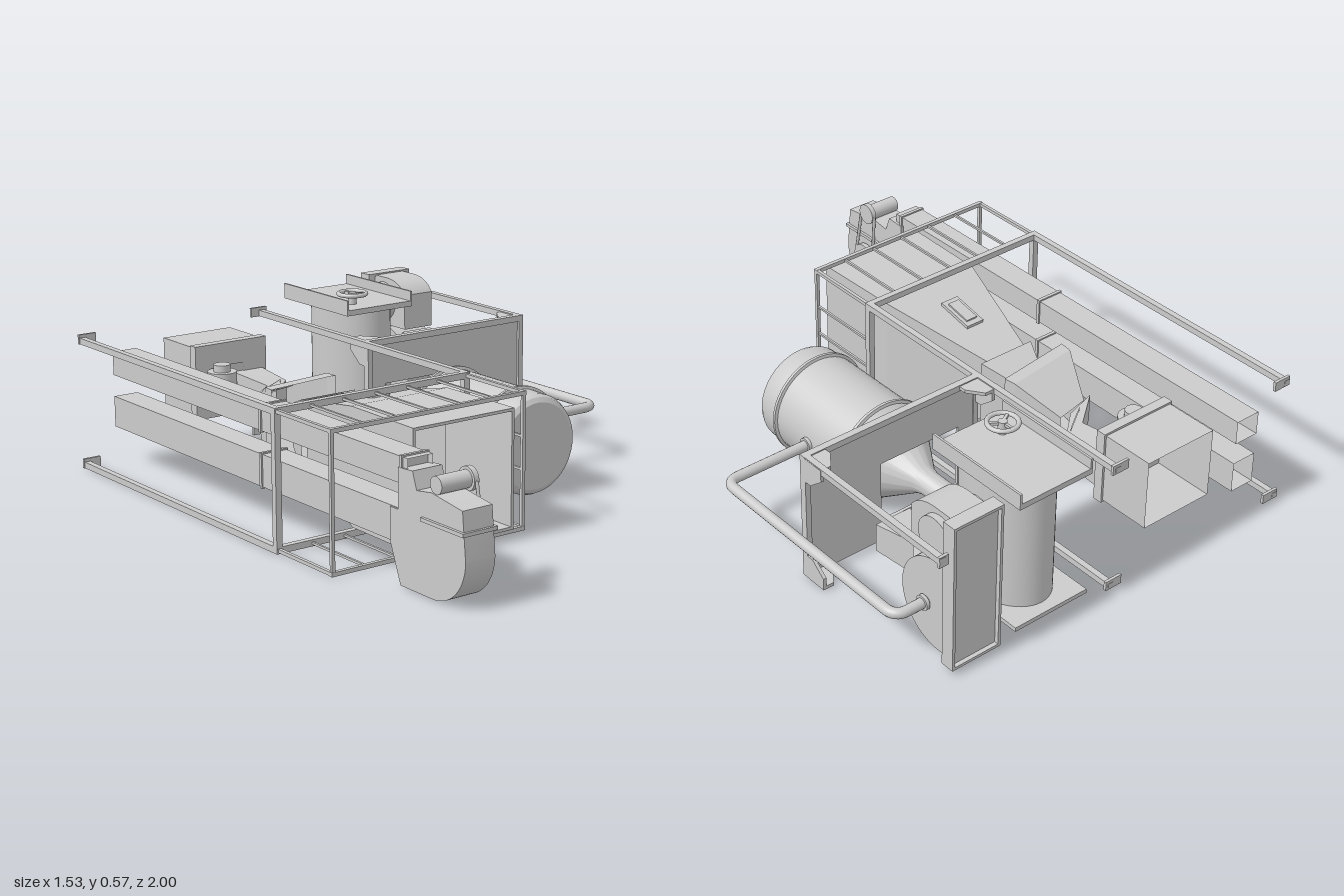
import * as THREE from 'three';
import { toCreasedNormals } from 'three/addons/utils/BufferGeometryUtils.js';

const grey = new THREE.MeshStandardMaterial({ color: 0xcccccc });
const sheet = new THREE.MeshStandardMaterial({ color: 0xcccccc, side: THREE.DoubleSide });
const flatSheet = new THREE.MeshStandardMaterial({ color: 0xcccccc, side: THREE.DoubleSide, flatShading: true });

export function createModel() {
  const root = new THREE.Group();
  const add = (name, geo, mat = grey, parent = root) => {
    const m = new THREE.Mesh(geo, mat);
    m.name = name;
    parent.add(m);
    return m;
  };
  const group = (name) => {
    const g = new THREE.Group();
    g.name = name;
    root.add(g);
    return g;
  };
  // box given by its limits on each axis
  const box = (name, x0, x1, y0, y1, z0, z1, parent) =>
    add(name, new THREE.BoxGeometry(x1 - x0, y1 - y0, z1 - z0)
      .translate((x0 + x1) / 2, (y0 + y1) / 2, (z0 + z1) / 2), grey, parent);
  // cylinder along an axis
  const cyl = (name, axis, r, len, x, y, z, parent) => {
    const g = new THREE.CylinderGeometry(r, r, len, 40);
    if (axis === 'x') g.rotateZ(Math.PI / 2);
    if (axis === 'z') g.rotateX(Math.PI / 2);
    return add(name, g.translate(x, y, z), grey, parent);
  };
  // open rectangular duct through sections [x, y, z, width, height, yaw]
  const duct = (name, sections, parent) => {
    const pos = [], idx = [];
    sections.forEach(([x, y, z, w, h, yaw = 0], k) => {
      [[-1, -1], [1, -1], [1, 1], [-1, 1]].forEach(([u, v]) =>
        pos.push(x + u * w / 2 * Math.cos(yaw), y + v * h / 2, z - u * w / 2 * Math.sin(yaw)));
      if (k) for (let i = 0; i < 4; i++) {
        const a = (k - 1) * 4 + i, b = (k - 1) * 4 + (i + 1) % 4;
        idx.push(a, b, b + 4, a, b + 4, a + 4);
      }
    });
    const g = new THREE.BufferGeometry();
    g.setAttribute('position', new THREE.Float32BufferAttribute(pos, 3));
    g.setIndex(idx);
    g.computeVertexNormals();
    return add(name, g, flatSheet, parent);
  };
  // side profile in (z, y) extruded across x0..x1
  const sideExtrude = (name, shape, x0, x1, parent) =>
    add(name, toCreasedNormals(new THREE.ExtrudeGeometry(shape,
      { depth: x1 - x0, bevelEnabled: false, curveSegments: 24 })
      .rotateY(-Math.PI / 2).translate(x1, 0, 0), 0.6), grey, parent);
  const poly = (pts) => new THREE.Shape(pts.map(([a, b]) => new THREE.Vector2(a, b)));

  // Elevator: two open trunks with flanges
  const elevator = group('elevator');
  [[0.362, 0.084], [0.187, 0.11]].forEach(([y, h]) => {
    duct('trunk', [[-0.582, y, -1, 0.094, h], [-0.582, y, 0.72, 0.094, h]], elevator);
    for (const z of [-0.06, 0.69])
      box('trunkFlange', -0.634, -0.53, y - h / 2 - 0.005, y + h / 2 + 0.005, z - 0.006, z + 0.006, elevator);
  });
  // Elevator head with rounded end
  const head = new THREE.Shape();
  head.moveTo(0.64, 0.13);
  head.lineTo(0.69, 0.005);
  head.lineTo(0.85, 0.005);
  head.absarc(0.845, 0.16, 0.155, -Math.PI / 2, 0, false);
  head.lineTo(0.985, 0.31);
  head.lineTo(0.84, 0.33);
  head.lineTo(0.77, 0.32);
  head.lineTo(0.75, 0.375);
  head.lineTo(0.68, 0.37);
  head.lineTo(0.68, 0.24);
  head.lineTo(0.64, 0.24);
  sideExtrude('elevatorHead', head, -0.635, -0.525, elevator);
  box('headFlange', -0.645, -0.515, 0.235, 0.247, 0.8, 1, elevator);
  cyl('headMotor', 'x', 0.028, 0.13, -0.565, 0.355, 0.855, elevator);
  cyl('motorPulley', 'x', 0.038, 0.018, -0.508, 0.355, 0.855, elevator);
  cyl('drivenPulley', 'x', 0.05, 0.018, -0.51, 0.16, 0.88, elevator);
  cyl('driveShaft', 'x', 0.016, 0.05, -0.515, 0.16, 0.88, elevator);
  for (const s of [-1, 1])
    add('driveBelt', new THREE.TubeGeometry(new THREE.LineCurve3(
      new THREE.Vector3(-0.508, 0.355, 0.855 + s * 0.037),
      new THREE.Vector3(-0.508, 0.16, 0.88 + s * 0.049)), 1, 0.006, 6), grey, elevator);

  // Intake hopper tapering towards the back
  const hopper = group('intakeHopper');
  duct('hopperShell', [[-0.28, 0.235, 0.55, 0.4, 0.4], [-0.28, 0.235, 0.22, 0.385, 0.4],
    [-0.28, 0.235, -0.2, 0.15, 0.23]], hopper);
  duct('hopperLiner', [[-0.28, 0.235, 0.55, 0.38, 0.38], [-0.28, 0.235, 0.22, 0.37, 0.38]], hopper);
  duct('hopperLip', [[-0.28, 0.235, 0.55, 0.4, 0.4], [-0.28, 0.235, 0.55, 0.38, 0.38]], hopper);
  duct('neckCollar', [[-0.28, 0.235, -0.18, 0.22, 0.25], [-0.28, 0.235, -0.32, 0.1, 0.15]], hopper);
  const hatch = box('inspectionHatch', -0.315, -0.245, -0.008, 0.012, -0.07, 0.07, hopper);
  hatch.position.set(0, 0.4, 0.05);
  hatch.rotation.x = -0.2;
  const pane = box('hatchPane', -0.302, -0.258, 0.01, 0.018, -0.05, 0.05, hopper);
  pane.position.copy(hatch.position);
  pane.rotation.copy(hatch.rotation);

  // Swivelling hood, elbow and fan box
  const suction = group('suctionDuct');
  duct('swivelHood', [[-0.295, 0.24, -0.3, 0.29, 0.28, 0.13], [-0.295, 0.24, -0.345, 0.28, 0.28, 0.13],
    [-0.28, 0.235, -0.51, 0.13, 0.14, 0.2]], suction);
  duct('elbowDuct', [[-0.325, 0.25, -0.5, 0.13, 0.1, 0.3], [-0.205, 0.255, -0.6, 0.1, 0.1, 0.25],
    [-0.21, 0.26, -0.78, 0.12, 0.12]], suction);
  duct('elbowCollar', [[-0.245, 0.255, -0.56, 0.125, 0.12, 0.6], [-0.235, 0.255, -0.572, 0.125, 0.12, 0.6]], suction);
  duct('fanBox', [[-0.28, 0.3, -1, 0.28, 0.25], [-0.28, 0.3, -0.78, 0.28, 0.25],
    [-0.28, 0.3, -0.78, 0.001, 0.001]], suction);
  duct('fanBoxFlange', [[-0.28, 0.3, -0.81, 0.28, 0.25], [-0.28, 0.3, -0.81, 0.295, 0.265],
    [-0.28, 0.3, -0.775, 0.295, 0.265], [-0.28, 0.3, -0.775, 0.1, 0.1]], suction);
  cyl('fanMotor', 'y', 0.052, 0.1, -0.36, 0.3, -0.71, suction);
  cyl('fanMotorCap', 'y', 0.03, 0.03, -0.36, 0.36, -0.71, suction);
  box('fanMotorMount', -0.39, -0.33, 0.27, 0.33, -0.78, -0.72, suction);

  // Open frame around the intake
  const frame = group('frame');
  const t = 0.011;
  const bar = (n, x0, x1, y0, y1, z0, z1, h = t) =>
    box(n, x0 - h, x1 + h, y0 - h, y1 + h, z0 - h, z1 + h, frame);
  const xl = -0.752, xr = -0.006, yb = 0.014, yt = 0.463;
  for (const y of [yb, yt]) {
    for (const z of [0.21, 0.505]) bar('crossRail', xl, xr, y, y, z, z, z > 0.4 ? 0.007 : t);
    for (const x of [xl, xr]) {
      bar('longRail', x, x, y, y, -0.99, 0.21);
      bar('frontRail', x, x, y, y, 0.21, 0.505, 0.006);
      const inward = x < -0.5 ? x + 0.02 : x - 0.012;
      box('railEndPlate', inward - 0.033, inward + 0.033, y - 0.012, y + 0.022, -1, -0.99, frame);
    }
    for (let i = 1; i < 6; i++) bar('roofBar', xl + i * 0.125, xl + i * 0.125, y, y, 0.21, 0.505, 0.004);
  }
  for (const x of [xl, xr]) for (const z of [0.21, 0.505]) bar('post', x, x, yb, yt, z, z, z > 0.4 ? 0.006 : t);
  for (const y of [0.21, 0.32]) bar('sideBar', xr, xr, y, y, 0.21, 0.505, 0.004);
  bar('outerRail', 0.688, 0.688, yt, yt, -0.99, -0.35);
  box('railEndPlate', 0.665, 0.7, 0.44, 0.478, -1, -0.99, frame);

  // Bulkhead plate with opening, rim and corner gussets
  const bulkhead = group('bulkhead');
  const plate = poly([[0, 0.005], [0.7, 0.005], [0.7, 0.47], [0, 0.47]]);
  plate.holes.push(new THREE.Path([[0.08, 0.08], [0.08, 0.31], [0.4, 0.31], [0.4, 0.08]]
    .map(([a, b]) => new THREE.Vector2(a, b))));
  add('bulkheadPlate', new THREE.ExtrudeGeometry(plate, { depth: 0.012, bevelEnabled: false })
    .translate(0, 0, -0.356), grey, bulkhead);
  box('bulkheadTopRim', 0, 0.7, 0.452, 0.474, -0.36, -0.335, bulkhead);
  for (const x of [0, 0.68]) box('bulkheadSideRim', x, x + 0.02, 0.005, 0.47, -0.36, -0.335, bulkhead);
  const gusset = [[0, 0], [0.08, 0], [0.08, 0.03], [0.04, 0.085], [0, 0.085]];
  for (const right of [false, true]) for (const top of [false, true]) {
    const x0 = right ? 0.7 : 0, sx = right ? -1 : 1;
    const y0 = top ? 0.47 : 0.005, sy = top ? -1 : 1;
    sideExtrude('uprightGusset', poly(gusset.map(([a, b]) => [-0.355 - b, y0 + sy * a * 1.1])),
      right ? 0.688 : 0, right ? 0.7 : 0.012, bulkhead);
    add('flatGusset', new THREE.ExtrudeGeometry(poly(gusset.map(([a, b]) => [x0 + sx * a, 0.355 + b])),
      { depth: 0.012, bevelEnabled: false }).rotateX(-Math.PI / 2)
      .translate(0, top ? 0.458 : 0.005, 0), grey, bulkhead);
  }

  // Cyclone lying along z, with its pipe
  const cyclone = group('cyclone');
  const profile = [[0, 0.282], [0.15, 0.282], [0.166, 0.272], [0.174, 0.255], [0.176, 0.185], [0.186, 0.182],
    [0.186, 0.172], [0.176, 0.169], [0.176, -0.17], [0.186, -0.173], [0.186, -0.183], [0.176, -0.186],
    [0.05, -0.38], [0.042, -0.41], [0.04, -0.62]];
  add('cycloneBody', toCreasedNormals(new THREE.LatheGeometry(
    profile.map(([r, z]) => new THREE.Vector2(r, z)), 48), 0.5)
    .rotateX(Math.PI / 2).translate(0.246, 0.193, 0), sheet, cyclone);
  box('cycloneFoot', 0.13, 0.36, 0.005, 0.09, -0.07, -0.03, cyclone);
  const V = (x, z) => new THREE.Vector3(x, 0.195, z);
  const path = new THREE.CurvePath();
  path.add(new THREE.LineCurve3(V(0.4, 0.005), V(0.7, 0.005)));
  path.add(new THREE.QuadraticBezierCurve3(V(0.7, 0.005), V(0.748, 0.005), V(0.748, -0.043)));
  path.add(new THREE.LineCurve3(V(0.748, -0.043), V(0.748, -0.81)));
  path.add(new THREE.QuadraticBezierCurve3(V(0.748, -0.81), V(0.748, -0.858), V(0.7, -0.858)));
  path.add(new THREE.LineCurve3(V(0.7, -0.858), V(0.6, -0.858)));
  add('airPipe', new THREE.TubeGeometry(path, 120, 0.018, 16), grey, cyclone);
  for (const [x, z] of [[0.426, 0.005], [0.642, -0.858]]) cyl('pipeFlange', 'x', 0.026, 0.012, x, 0.195, z, cyclone);

  // Rear vessel with tray lid, base and handwheel
  const vessel = group('rearVessel');
  add('vesselBody', new THREE.CylinderGeometry(0.128, 0.128, 0.46, 48).scale(1, 1, 1.36)
    .translate(0.25, 0.275, -0.785), grey, vessel);
  box('vesselBase', 0.1, 0.395, 0.04, 0.055, -1, -0.6, vessel);
  box('vesselLid', 0.105, 0.39, 0.502, 0.522, -1, -0.6, vessel);
  for (const x of [0.103, 0.385]) box('lidLip', x, x + 0.008, 0.502, 0.558, -1, -0.6, vessel);
  const [wx, wz] = [0.19, -0.69];
  cyl('wheelStem', 'y', 0.015, 0.05, wx, 0.54, wz, vessel);
  add('handwheelRim', new THREE.TorusGeometry(0.05, 0.008, 10, 32).rotateX(Math.PI / 2)
    .translate(wx, 0.56, wz), grey, vessel);
  for (let i = 0; i < 3; i++) {
    const spoke = box('wheelSpoke', 0, 0.05, -0.005, 0.005, -0.005, 0.005, vessel);
    spoke.position.set(wx, 0.558, wz);
    spoke.rotation.y = Math.PI / 2 + i * Math.PI * 2 / 3;
  }

  // Rear blower: back cabinet, volute, motor and chute
  const blower = group('blower');
  box('backCabinet', 0.458, 0.642, 0.02, 0.55, -0.985, -0.955, blower);
  for (const x of [0.455, 0.635]) box('cabinetSide', x, x + 0.01, 0.02, 0.555, -1, -0.95, blower);
  for (const y of [0.02, 0.545]) box('cabinetEdge', 0.455, 0.645, y, y + 0.01, -1, -0.95, blower);
  const volute = new THREE.Shape();
  volute.moveTo(-0.96, 0.04);
  volute.lineTo(-0.91, 0.04);
  volute.absarc(-0.91, 0.205, 0.165, -Math.PI / 2, Math.PI / 2, false);
  volute.lineTo(-0.96, 0.37);
  sideExtrude('volute', volute, 0.485, 0.63, blower);
  cyl('blowerMotor', 'x', 0.072, 0.17, 0.553, 0.46, -0.9, blower);
  const hood = new THREE.Shape();
  hood.moveTo(-0.96, 0.55);
  hood.lineTo(-0.87, 0.55);
  hood.quadraticCurveTo(-0.8, 0.545, -0.77, 0.5);
  hood.lineTo(-0.77, 0.37);
  hood.lineTo(-0.96, 0.37);
  sideExtrude('blowerHood', hood, 0.488, 0.615, blower);
  duct('blowerChute', [[0.55, 0.3, -0.78, 0.13, 0.12], [0.55, 0.27, -0.6, 0.13, 0.1]], blower);
  return root;
}
